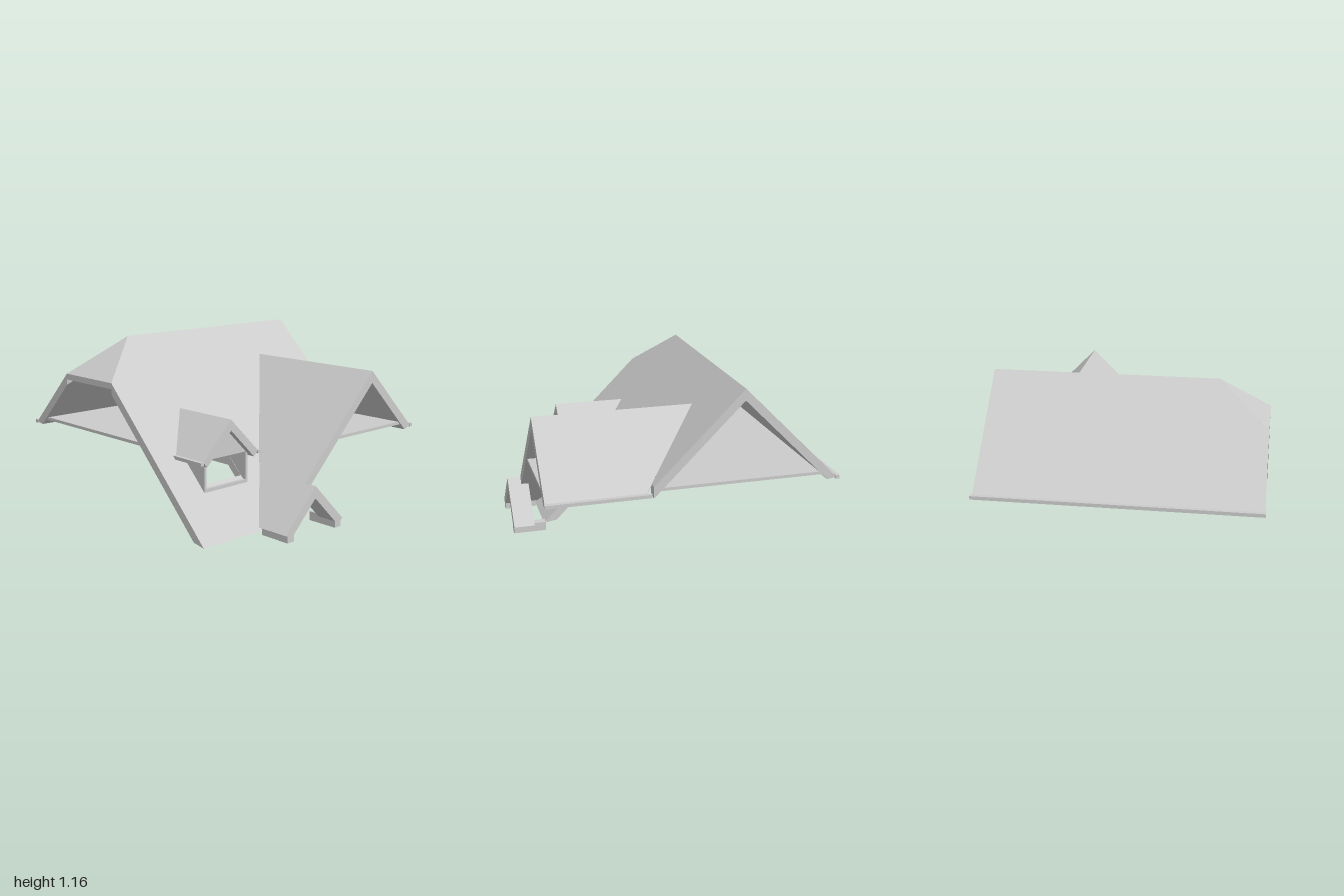
import * as THREE from 'three';

const roofGrey = new THREE.MeshStandardMaterial({ color: 0xcccccc });
roofGrey.name = 'roofGrey';

const toShape = (pts) => new THREE.Shape(pts.map(([x, y]) => new THREE.Vector2(x, y)));
const rectHole = (x0, x1, y0, y1) => toShape([[x0, y0], [x0, y1], [x1, y1], [x1, y0]]);

// Sloping slab: plan outline in (x, z), top on y = a + b*x + c*z, vertical thickness t.
// The underside is cut level at "floor", sliding its edge up the slope.
function slab(name, pts, [a, b, c], t, floor = -1, hole = null) {
  const shape = toShape(pts.map(([x, z]) => [x, -z]));
  if (hole) shape.holes.push(rectHole(hole[0], hole[1], -hole[3], -hole[2]));
  const geo = new THREE.ExtrudeGeometry(shape, { depth: t, bevelEnabled: false });
  geo.rotateX(-Math.PI / 2);
  const p = geo.attributes.position;
  for (let i = 0; i < p.count; i++) {
    let x = p.getX(i), z = p.getZ(i);
    const isBottom = p.getY(i) < t / 2;
    let y = a + b * x + c * z - (isBottom ? t : 0);
    if (isBottom && y < floor) {
      const k = (floor - y) / (b * b + c * c);
      x += b * k;
      z += c * k;
      y = floor;
    }
    p.setXYZ(i, x, y, z);
  }
  geo.computeVertexNormals();
  return named(name, geo);
}

function named(name, geo) {
  const mesh = new THREE.Mesh(geo, roofGrey);
  mesh.name = name;
  return mesh;
}

// Box from its limits on each axis
function box(name, x0, x1, y0, y1, z0, z1) {
  const geo = new THREE.BoxGeometry(x1 - x0, y1 - y0, z1 - z0);
  geo.translate((x0 + x1) / 2, (y0 + y1) / 2, (z0 + z1) / 2);
  return named(name, geo);
}

function group(name, ...parts) {
  const g = new THREE.Group();
  g.name = name;
  g.add(...parts);
  return g;
}

function mainRoof() {
  const front = slab('frontSlope', [
    [-0.585, -0.345], [0.895, -0.345], [0.895, 0.235], [0.82, 0.235], [0.82, 0.2],
    [0.125, 0.2], [0.02, 0.305], [0.02, 0.785], [-0.915, 0.785], [-0.915, -0.095],
  ], [0.815, 0, -1], 0.075, 0.045, [-0.67, -0.34, 0.26, 0.5]);
  const back = slab('backSlope', [
    [-0.585, -0.345], [-0.915, -0.595], [-0.915, -0.985], [0.895, -0.985], [0.895, -0.345],
  ], [1.505, 0, 1], 0.075, 0.51);
  const hip = slab('halfHip', [[-0.585, -0.345], [-0.915, -0.095], [-0.915, -0.595]],
    [1.16 + 0.585 * 0.757, 0.757, 0], 0.04);
  const gutter = box('backGutter', -0.92, 0.905, 0.512, 0.535, -1, -0.972);
  return group('mainRoof', front, back, hip, gutter);
}

function crossGable() {
  // The long left slope also forms the left side of the porch gable
  const left = slab('leftSlope', [
    [0.465, -0.34], [0.465, 0.91], [-0.175, 0.91], [-0.175, 1], [-0.44, 1],
    [-0.44, 0.77], [-0.13, 0.46], [-0.13, -0.34],
  ], [0.49, 1, 0], 0.08, 0.03);
  const right = slab('rightSlope', [[0.465, 0.91], [0.895, 0.91], [0.895, 0.29], [0.465, -0.14]],
    [1.42, -1, 0], 0.08, 0.505);
  const gutter = box('sideGutter', 0.885, 0.915, 0.518, 0.54, 0.25, 0.915);
  return group('crossGable', left, right, gutter);
}

function porchGable() {
  const slope = slab('porchRightSlope', [[-0.175, 1], [0.09, 1], [0.09, 0.86], [-0.175, 0.86]],
    [0.14, -1, 0], 0.08, 0.03);
  const g = group('porchGable', slope);
  for (const x of [-0.395, 0.045]) g.add(box('eaveFoot', x - 0.028, x + 0.028, 0, 0.06, 0.78, 1));
  return g;
}

function dormer() {
  const g = group('dormer');
  const cx = -0.505;
  for (const s of [-1, 1]) {
    g.add(slab('dormerSlope', [[cx, 0.585], [cx + s * 0.235, 0.585], [cx + s * 0.235, 0.33], [cx, 0.095]],
      [0.72 + s * cx, -s, 0], 0.07, 0.45));
    const gx = cx + s * 0.245;
    g.add(box('dormerGutter', gx - 0.013, gx + 0.013, 0.465, 0.487, 0.33, 0.59));
    // Triangular cheek wall standing on the main slope
    const cheek = new THREE.ExtrudeGeometry(toShape([[-0.54, 0.2], [-0.27, 0.47], [-0.54, 0.47]]),
      { depth: 0.018, bevelEnabled: false });
    cheek.rotateY(Math.PI / 2);
    cheek.translate(cx + s * 0.176 - 0.009, 0, 0);
    g.add(named('dormerCheek', cheek));
  }
  // Front wall with window opening
  const wall = toShape([[-0.69, 0.2], [-0.32, 0.2], [-0.32, 0.47], [cx, 0.655], [-0.69, 0.47]]);
  wall.holes.push(rectHole(-0.672, -0.338, 0.297, 0.48));
  const wallGeo = new THREE.ExtrudeGeometry(wall, { depth: 0.04, bevelEnabled: false });
  wallGeo.translate(0, 0, 0.501);
  g.add(named('dormerFrontWall', wallGeo));
  g.add(box('dormerBeam', -0.83, -0.2, 0.1, 0.25, 0.5, 0.54));
  return g;
}

export function createModel() {
  // Flat ceiling reaching into the cross gable
  const ceiling = slab('ceiling', [
    [-0.9, -0.9], [0.885, -0.9], [0.885, 0.22], [0.82, 0.22], [0.82, 0.9],
    [0.11, 0.9], [0.11, 0.22], [-0.9, 0.22],
  ], [0.565, 0, 0], 0.02);
  return group('roof', mainRoof(), crossGable(), porchGable(), dormer(), ceiling);
}
